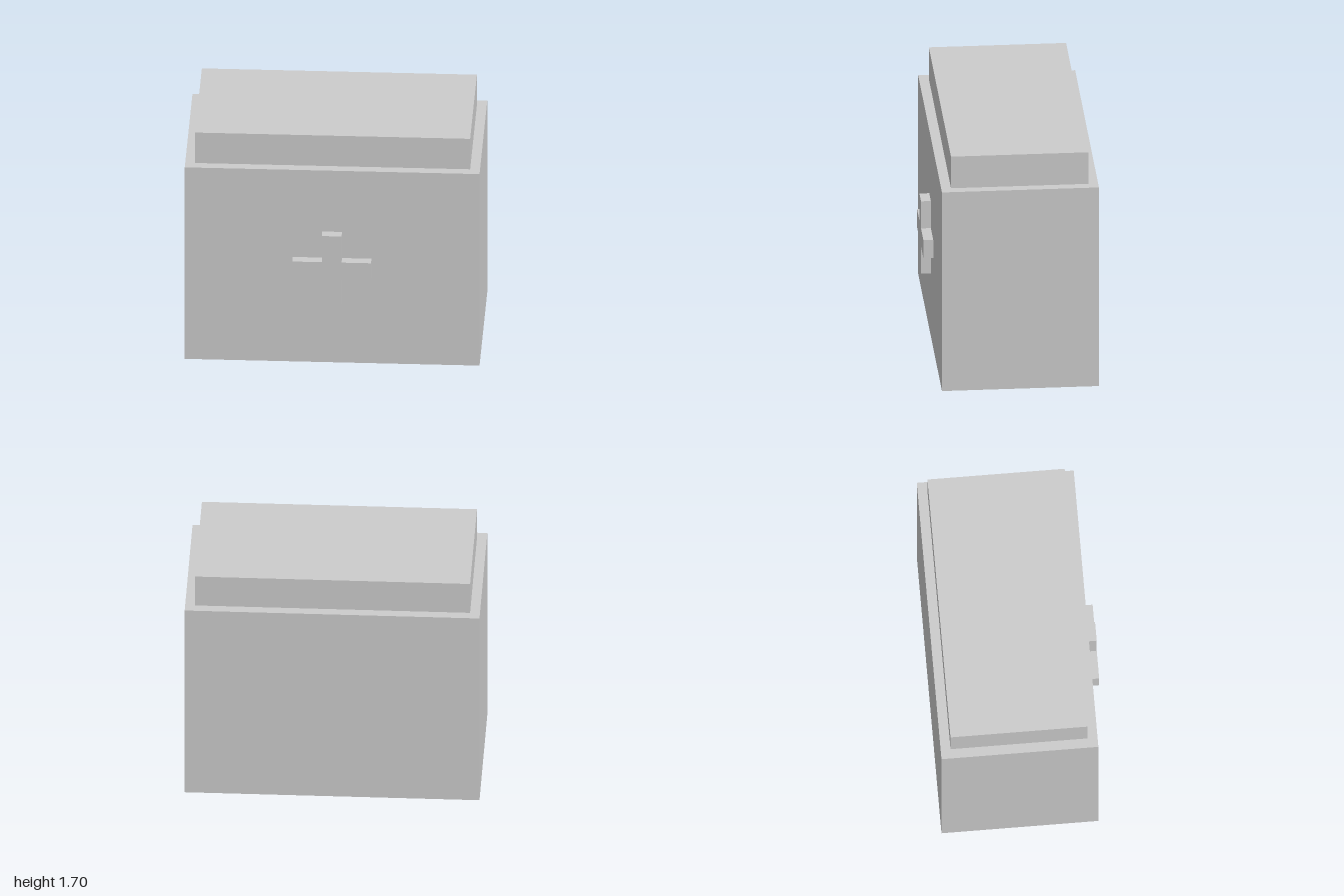
import * as THREE from 'three';

const material = new THREE.MeshStandardMaterial({ color: 0xcccccc, flatShading: true });

// Box given by its lower and upper corners
function block(name, [x0, y0, z0], [x1, y1, z1]) {
  const mesh = new THREE.Mesh(new THREE.BoxGeometry(x1 - x0, y1 - y0, z1 - z0), material);
  mesh.position.set((x0 + x1) / 2, (y0 + y1) / 2, (z0 + z1) / 2);
  mesh.name = name;
  return mesh;
}

// Plus-shaped outline: arm length a, half width w
function crossShape(a, w) {
  return new THREE.Shape([
    [w, -a], [w, -w], [a, -w], [a, w], [w, w], [w, a],
    [-w, a], [-w, w], [-a, w], [-a, -w], [-w, -w], [-w, -a],
  ].map(([x, y]) => new THREE.Vector2(x, y)));
}

export function createModel() {
  const group = new THREE.Group();
  group.name = 'firstAidBox';

  // Main case and the narrower lid on top
  group.add(block('case', [-1, 0, -0.567], [1, 1.467, 0.5]));
  group.add(block('lid', [-0.933, 1.467, -0.5], [0.933, 1.7, 0.433]));

  // Raised cross on the front
  const cross = new THREE.Mesh(
    new THREE.ExtrudeGeometry(crossShape(0.267, 0.067), { depth: 0.067, bevelEnabled: false }),
    material
  );
  cross.name = 'frontCross';
  cross.position.set(0, 0.733, 0.5);
  group.add(cross);

  return group;
}
